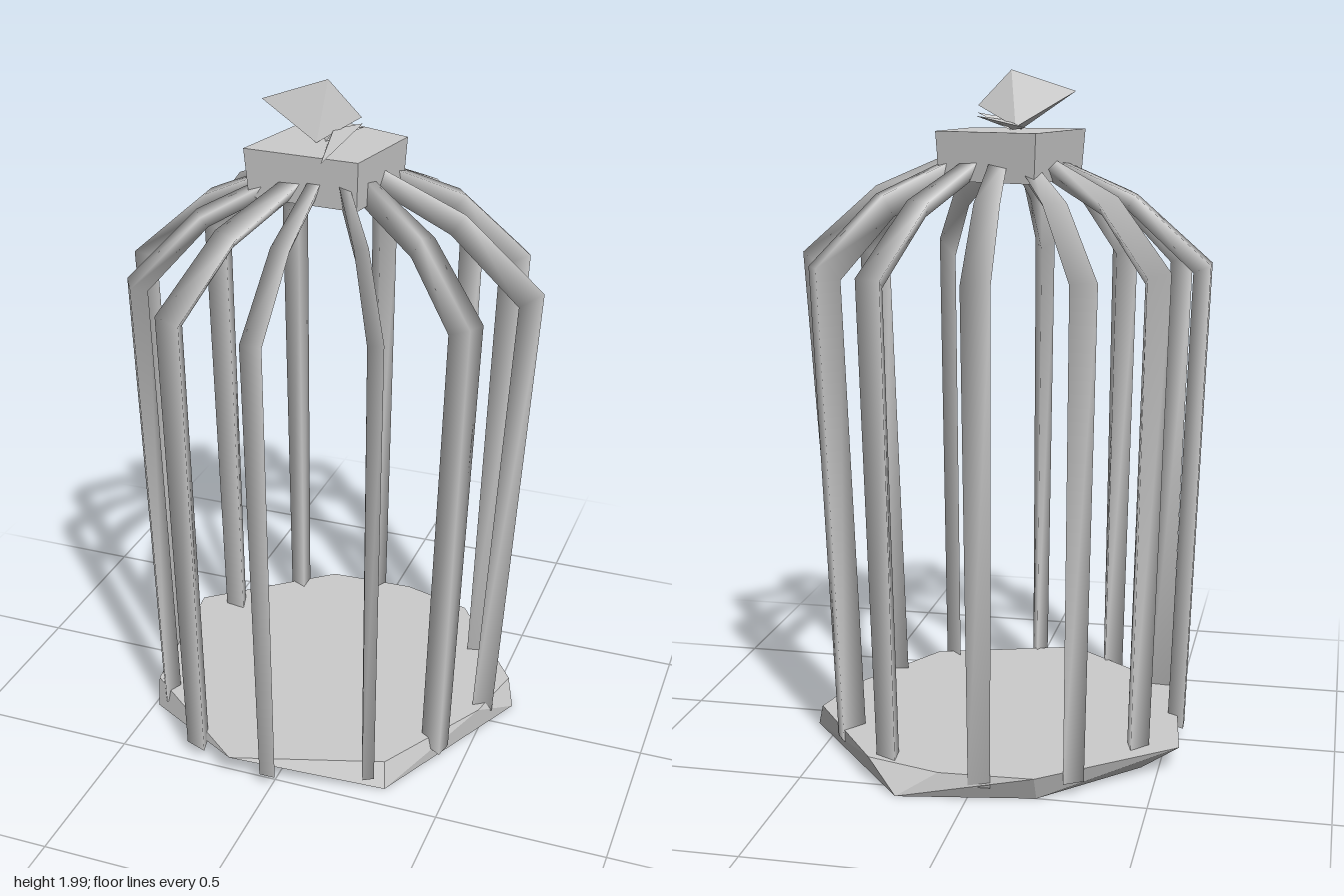
import * as THREE from 'three';
import { ConvexGeometry } from 'three/addons/geometries/ConvexGeometry.js';

const material = new THREE.MeshStandardMaterial({ color: 0xcccccc });
const flatMaterial = new THREE.MeshStandardMaterial({ color: 0xcccccc, flatShading: true });

// Faceted solid around a few corner points [x, y, z]
function facetedSolid(name, points) {
  const geometry = new ConvexGeometry(points.map(p => new THREE.Vector3(...p)));
  const mesh = new THREE.Mesh(geometry, flatMaterial);
  mesh.name = name;
  return mesh;
}

// Places a ring of [x, z] corners at height y
const ringAt = (y, ring) => ring.map(([x, z]) => [x, y, z]);

// Bars: shoulder x, shoulder z, foot radius, width scale, depth scale, roll
const bars = [
  [0.60, 0.00, 0.51, 1.1, 1.0, Math.PI],
  [0.495, 0.28, 0.50, 0.8, 1.4, 0.3],
  [0.29, 0.475, 0.52, 0.5, 1.6, 0],
  [-0.01, 0.585, 0.54, 0.7, 1.0, 0],
  [-0.285, 0.51, 0.55, 1.0, 1.0, 0.15],
  [-0.50, 0.30, 0.54, 1.0, 0.9, 0],
  [-0.60, 0.02, 0.55, 0.9, 0.9, 0],
  [-0.485, -0.28, 0.52, 1.0, 1.0, -0.2],
  [-0.31, -0.50, 0.55, 0.9, 0.9, 0],
  [-0.04, -0.59, 0.55, 0.9, 1.0, 0],
  [0.27, -0.52, 0.54, 1.0, 1.0, 0],
  [0.48, -0.32, 0.52, 0.8, 1.4, 0],
];

// Bent three-sided bar from the cap over a knee and shoulder to the foot
function makeBar([x, z, footRadius, widthScale, depthScale, roll]) {
  const angle = Math.atan2(z, x);
  const radial = new THREE.Vector3(Math.cos(angle), 0, Math.sin(angle));
  const across = new THREE.Vector3(-Math.sin(angle), 0, Math.cos(angle));
  // Outer radius, height, outward tilt (radial, up), width, depth
  const sections = [
    [0.14, 1.755, 0.40, 0.92, 0.055, 0.05],
    [0.38, 1.65, 0.55, 0.83, 0.08, 0.055],
    [Math.hypot(x, z), 1.455, 0.90, 0.44, 0.09, 0.065],
    [footRadius, 0.05, 1.00, 0.00, 0.07, 0.055],
  ];
  const positions = [];
  const index = [];
  sections.forEach(([r, y, nr, ny, w, d], k) => {
    const width = w * widthScale, depth = d * depthScale;
    const out = radial.clone().multiplyScalar(nr).setY(ny);
    const centre = radial.clone().multiplyScalar(r).setY(y).addScaledVector(out, -d / 3);
    for (const [side, outward] of [[0.5, 1 / 3], [-0.5, 1 / 3], [0, -2 / 3]]) {
      const s = side * width, o = outward * depth;
      const p = centre.clone()
        .addScaledVector(across, s * Math.cos(roll) - o * Math.sin(roll))
        .addScaledVector(out, s * Math.sin(roll) + o * Math.cos(roll));
      positions.push(p.x, p.y, p.z);
    }
    if (k === 0) return;
    for (let j = 0; j < 3; j++) {
      const a = (k - 1) * 3 + j, b = (k - 1) * 3 + (j + 1) % 3;
      index.push(a, a + 3, b, b, a + 3, b + 3);
    }
  });
  const last = (sections.length - 1) * 3;
  index.push(0, 1, 2, last, last + 2, last + 1);
  const geometry = new THREE.BufferGeometry();
  geometry.setAttribute('position', new THREE.Float32BufferAttribute(positions, 3));
  geometry.setIndex(index);
  geometry.computeVertexNormals();
  return new THREE.Mesh(geometry, material);
}

export function createModel() {
  const model = new THREE.Group();
  model.name = 'birdCage';

  // Irregular floor plate, its rim overhanging at the front
  const floorBottom = [[0.57, -0.1], [0.32, 0.43], [-0.485, 0.28],
    [-0.45, -0.23], [-0.19, -0.5], [0.2, -0.565]];
  const floorTop = [[-0.56, -0.24], [-0.19, -0.54], [0.08, -0.55], [0.3, -0.485],
    [0.545, -0.14], [0.5, 0.06], [0.31, 0.4], [-0.13, 0.54], [-0.5, 0.24]];
  model.add(facetedSolid('floor', [...ringAt(0.01, floorBottom), ...ringAt(0.085, floorTop)]));

  // Twelve uneven bars
  const barGroup = new THREE.Group();
  barGroup.name = 'bars';
  bars.forEach((row, i) => {
    const bar = makeBar(row);
    bar.name = 'bar' + (i + 1);
    barGroup.add(bar);
  });
  model.add(barGroup);

  // Four-sided cap holding the bar ends
  const capTop = [[-0.13, -0.23], [0.18, -0.12], [0.13, 0.155], [-0.21, 0.135]];
  const capBottom = capTop.map(([x, z]) => [x * 0.95, z * 0.95]);
  model.add(facetedSolid('cap', [...ringAt(1.69, capBottom), ...ringAt(1.83, capTop)]));

  // Crumpled finial: upright blade, low sliver towards the front and a small foot
  const finial = new THREE.Group();
  finial.name = 'finial';
  finial.add(facetedSolid('finialBlade', [[-0.02, 2, -0.02], [-0.2, 1.94, 0.02],
    [-0.04, 1.83, 0.02], [0.075, 1.9, -0.03], [-0.04, 1.84, -0.06]]));
  finial.add(facetedSolid('finialSliver', [[0.04, 1.832, 0.2], [0.075, 1.88, -0.04],
    [-0.02, 1.83, -0.03], [0, 1.865, -0.01]]));
  finial.add(facetedSolid('finialFoot', [[-0.08, 1.84, -0.11], [0.08, 1.87, -0.04],
    [-0.02, 1.83, 0], [0, 1.86, -0.03]]));
  model.add(finial);

  return model;
}
